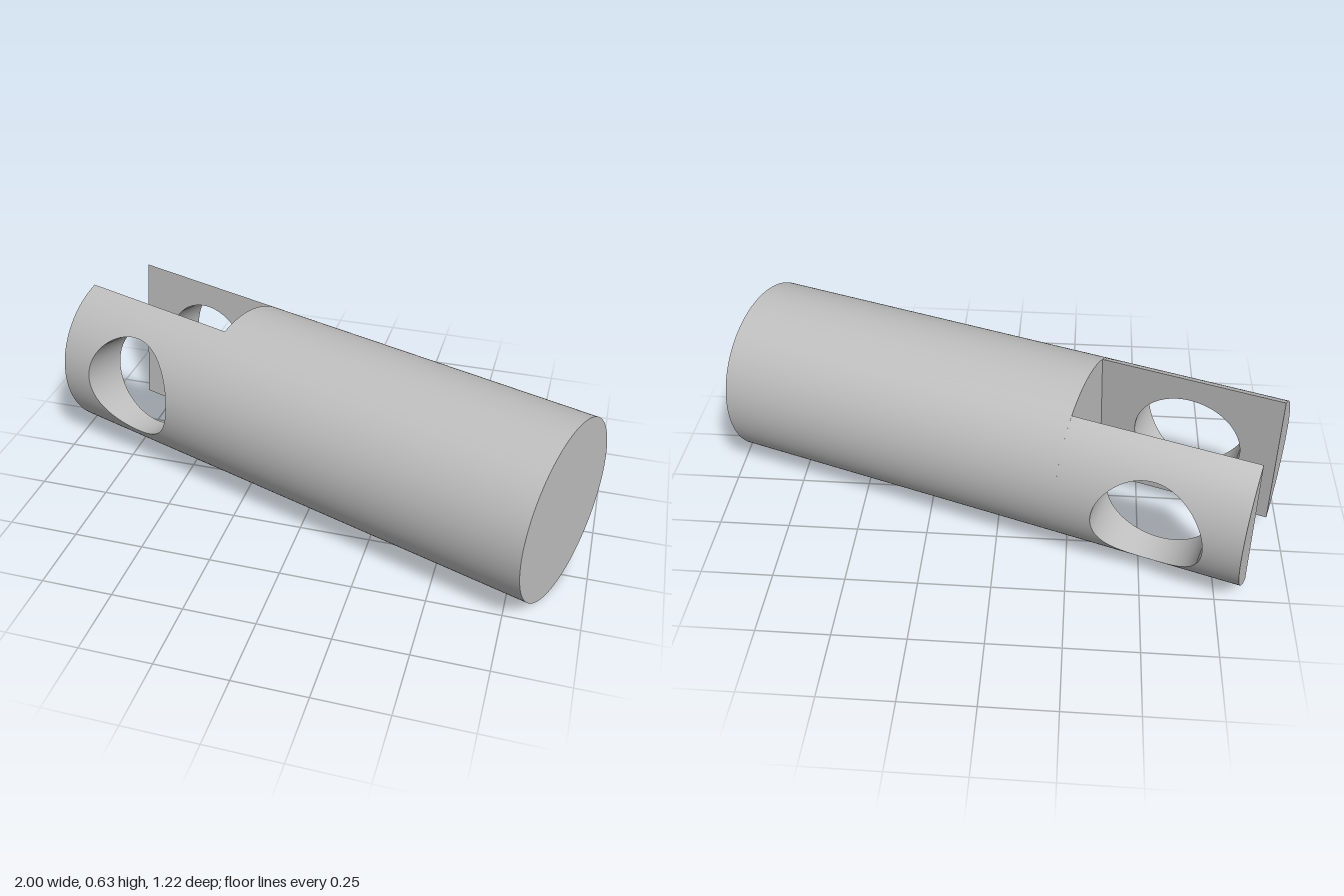
import * as THREE from 'three';

const R = 0.315;                 // rod radius
const HALF = 0.948;              // half length of the rod
const FLOOR = -0.323;            // axial position of the slot floor
const SLOT = 0.148;              // half width of the slot
const HOLE = 0.188;              // cross hole radius
const MID = (FLOOR - HALF) / 2;  // axial centre of the prongs
const A = (FLOOR + HALF) / 2;    // prong half length
const B = Math.sqrt(R * R - SLOT * SLOT); // prong half height

// Perimeter of the prong outline, counter-clockwise
const STEPS = 32;
const corners = [[A, -B], [A, B], [-A, B], [-A, -B]];
const outline = [];
corners.forEach(([x, y], k) => {
  const [x2, y2] = corners[(k + 1) % 4];
  for (let i = 0; i < STEPS; i++) {
    const t = i / STEPS;
    outline.push([x + (x2 - x) * t, y + (y2 - y) * t]);
  }
});

// Closed ring-shaped sheet: point(edge, t) with t running across the ring
function ringSheet(rows, point) {
  const n = outline.length, pos = [], index = [];
  for (let j = 0; j <= rows; j++) for (const p of outline) pos.push(...point(p, j / rows));
  for (let j = 0; j < rows; j++) {
    for (let i = 0; i < n; i++) {
      const k = (i + 1) % n;
      const a = j * n + i, b = a + n, c = (j + 1) * n + k, d = j * n + k;
      index.push(a, b, c, a, c, d);
    }
  }
  const g = new THREE.BufferGeometry();
  g.setAttribute('position', new THREE.Float32BufferAttribute(pos, 3));
  g.setIndex(index);
  g.computeVertexNormals();
  return g;
}

// Point between the hole rim (t = 0) and the outline (t = 1)
function between([x, y], t) {
  const s = HOLE / Math.hypot(x, y), f = s + (1 - s) * t;
  return [x * f, y * f];
}
const surface = (y) => Math.sqrt(Math.max(R * R - y * y, 0));

export function createModel() {
  const metal = new THREE.MeshStandardMaterial({ color: 0xbfbfbf });
  metal.name = 'plain grey';
  const add = (parent, name, geometry) => {
    const m = new THREE.Mesh(geometry, metal);
    m.name = name;
    parent.add(m);
    return m;
  };

  const rod = new THREE.Group();
  rod.name = 'slottedRod';

  // Solid part of the rod
  const body = new THREE.CylinderGeometry(R, R, HALF - FLOOR, 128);
  body.rotateZ(-Math.PI / 2);
  add(rod, 'rodBody', body).position.x = (HALF + FLOOR) / 2;

  // Prong: curved outside, flat inside, bored by the cross hole
  const outer = ringSheet(20, (p, t) => {
    const [x, y] = between(p, t);
    return [x, y, surface(y)];
  });
  const normals = outer.attributes.normal, pts = outer.attributes.position;
  for (let i = 0; i < pts.count; i++) normals.setXYZ(i, 0, pts.getY(i) / R, pts.getZ(i) / R);
  const inner = ringSheet(1, (p, t) => [...between(p, 1 - t), SLOT]);
  const bore = ringSheet(1, (p, t) => {
    const [x, y] = between(p, 0);
    return [x, y, SLOT + (surface(y) - SLOT) * t];
  });

  // End face: circular segment cut by the slot
  const beta = Math.acos(SLOT / R);
  const segment = new THREE.Shape();
  segment.absarc(0, 0, R, -beta, beta, false);
  const end = new THREE.ShapeGeometry(segment, 48);
  end.rotateY(-Math.PI / 2);
  end.translate(-A, 0, 0);

  for (const [name, turn] of [['frontProng', 0], ['backProng', Math.PI]]) {
    const prong = new THREE.Group();
    prong.name = name;
    add(prong, 'prongOuterFace', outer);
    add(prong, 'prongInnerFace', inner);
    add(prong, 'holeWall', bore);
    add(prong, 'prongEndFace', end);
    prong.position.x = MID;
    prong.rotation.x = turn;
    rod.add(prong);
  }

  // Lay the rod diagonally, rolled slightly about its axis
  rod.rotation.set(-0.117, -0.333, 0, 'YXZ');
  rod.position.y = R;

  const model = new THREE.Group();
  model.name = 'clevisRod';
  model.add(rod);
  return model;
}
